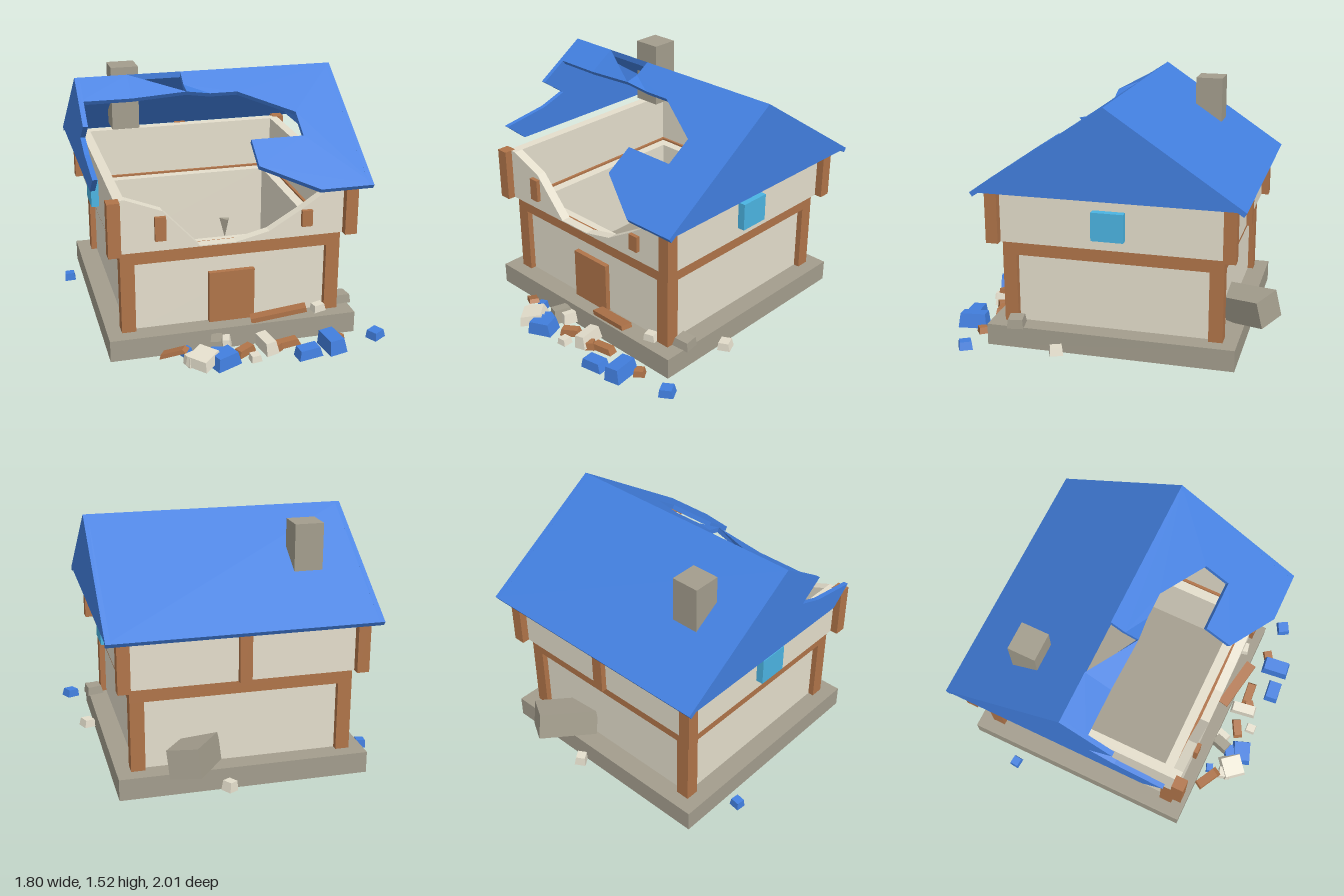
import * as THREE from 'three';

const mat = (name, color) => {
  const m = new THREE.MeshStandardMaterial({ color });
  m.name = name;
  return m;
};

export function createModel() {
  const blue = mat('roofBlue', 0x427fdf);
  const cream = mat('plaster', 0xe4decc);
  const wood = mat('timber', 0xb07449);
  const stone = mat('stone', 0xa39d8d);
  const glass = mat('windowGlass', 0x4bb4e2);

  const model = new THREE.Group();
  model.name = 'ruinedHouse';
  const CX = -0.015, CZ = -0.04; // centre of the house plan

  const add = (name, geo, material, parent = model) => {
    const m = new THREE.Mesh(geo, material);
    m.name = name;
    parent.add(m);
    return m;
  };
  // box given by its limits on each axis
  const box = (name, material, x0, x1, y0, y1, z0, z1) => {
    const m = add(name, new THREE.BoxGeometry(x1 - x0, y1 - y0, z1 - z0), material);
    m.position.set((x0 + x1) / 2, (y0 + y1) / 2, (z0 + z1) / 2);
    return m;
  };
  // square ring of four walls around the house centre; the front may be left out
  const ring = (name, material, outer, inner, y0, y1, front = true) => {
    for (const s of [-1, 1]) {
      const a = Math.min(s * outer, s * inner), b = Math.max(s * outer, s * inner);
      box(name + 'Side', material, CX + a, CX + b, y0, y1, CZ - outer, CZ + (front ? outer : inner));
      if (s < 0 || front) box(name + (s < 0 ? 'Back' : 'Front'), material, CX - inner, CX + inner, y0, y1, CZ + a, CZ + b);
    }
  };
  const posts = (name, outer, width, y0, y1) => {
    const c = outer - width / 2, h = width / 2;
    for (const sx of [-1, 1]) for (const sz of [-1, 1])
      box(name, wood, CX + sx * c - h, CX + sx * c + h, y0, y1, CZ + sz * c - h, CZ + sz * c + h);
  };

  // foundation, hollow underneath
  ring('foundationRim', stone, 0.758, 0.75, 0, 0.133);
  box('foundationFloor', stone, CX - 0.75, CX + 0.75, 0.123, 0.133, CZ - 0.75, CZ + 0.75);

  // ground floor
  ring('lowerWall', cream, 0.635, 0.56, 0.133, 0.64);
  posts('lowerPost', 0.672, 0.085, 0.133, 0.57);
  ring('floorBeam', wood, 0.672, 0.622, 0.565, 0.652);
  box('door', wood, -0.155, 0.125, 0.133, 0.457, 0.58, 0.627);

  // upper floor, with a collapsed front wall
  ring('upperWall', cream, 0.7, 0.64, 0.652, 0.98, false);
  posts('upperPost', 0.748, 0.075, 0.652, 0.982);
  box('backPost', wood, CX - 0.037, CX + 0.037, 0.652, 0.98, -0.775, -0.72);
  const broken = [[-0.715, 0.652], [0.685, 0.652], [0.685, 0.98], [0.61, 0.965], [0.4, 0.825], [0.2, 0.705],
    [0, 0.658], [-0.22, 0.658], [-0.44, 0.895], [-0.655, 0.98], [-0.715, 0.98]];
  add('brokenFrontWall', new THREE.ExtrudeGeometry(
    new THREE.Shape(broken.map(p => new THREE.Vector2(...p))), { depth: 0.06, bevelEnabled: false }), cream)
    .position.z = 0.6;
  box('leftFrontStub', wood, 0.395, 0.46, 0.72, 0.82, 0.65, 0.685);
  box('rightFrontStub', wood, -0.487, -0.422, 0.72, 0.865, 0.65, 0.685);
  for (const s of [-1, 1])
    box('sideWindow', glass, CX + s * 0.717 - 0.03, CX + s * 0.717 + 0.03, 0.72, 0.892, -0.135, 0.06);

  // roof slabs: outline points are [x, z, lift] on the slope, thickened inwards and mitred at the ridge
  const RIDGE = CZ, slopeY = z => 1.52 - Math.abs(z - RIDGE) * 0.667;
  const slab = (name, outline) => {
    const pts = outline.map(([x, z, lift = 0]) => new THREE.Vector3(x, slopeY(z) + lift, z));
    const flat = () => pts.map(p => new THREE.Vector2(p.x, -p.z));
    if (THREE.ShapeUtils.isClockWise(flat())) pts.reverse();
    const low = pts.map(p => {
      const side = Math.sign(p.z - RIDGE);
      return new THREE.Vector3(p.x, p.y - (side ? 0.025 : 0.036), p.z - side * 0.0167);
    });
    const tri = [];
    for (const [a, b, c] of THREE.ShapeUtils.triangulateShape(flat(), []))
      tri.push(pts[a], pts[b], pts[c], low[c], low[b], low[a]);
    pts.forEach((p, i) => {
      const j = (i + 1) % pts.length;
      tri.push(p, low[i], low[j], p, low[j], pts[j]);
    });
    const g = new THREE.BufferGeometry().setFromPoints(tri);
    g.computeVertexNormals();
    add(name, g, blue);
  };
  slab('backRoof', [[-0.82, RIDGE], [0.8, RIDGE], [0.8, -0.85], [-0.82, -0.85]]);
  slab('frontRoof', [[-0.17, RIDGE], [0.8, RIDGE], [0.8, 0.77], [0.475, 0.77], [0.15, 0.6], [0.15, 0.435],
    [0.475, 0.435], [0.475, 0.28], [0.15, 0.12], [-0.02, 0.12], [-0.17, 0.05]]);
  slab('bentRoofFlap', [[-0.17, 0.05], [-0.02, 0.12], [-0.17, 0.135, 0.035]]);
  slab('brokenRoofStrip', [[-0.82, RIDGE], [-0.5, RIDGE], [-0.17, 0.135, 0.035], [-0.5, 0.12], [-0.82, 0.12]]);

  // gable plates, drawn as [z, y]
  const gable = (name, pts, x) => {
    const g = new THREE.ExtrudeGeometry(new THREE.Shape(pts.map(([z, y]) => new THREE.Vector2(-z, y))),
      { depth: 0.03, bevelEnabled: false });
    g.rotateY(Math.PI / 2);
    add(name, g, blue).position.x = x;
  };
  gable('leftGable', [[0.77, 0.98], [-0.85, 0.98], [RIDGE, 1.52]], 0.77);
  gable('brokenRightGable', [[0.47, 0.98], [-0.85, 0.98], [RIDGE, 1.52], [0.28, 1.307], [0.13, 1.197],
    [0.29, 1.14], [0.6, 1.093]], -0.82);

  box('chimney', stone, -0.555, -0.38, 1.09, 1.497, -0.5, -0.328);

  // fallen pieces
  const chunk = add('fallenChimney', new THREE.BoxGeometry(0.19, 0.17, 0.37), stone);
  chunk.rotation.set(0.14, -0.56, -0.18, 'YXZ');
  chunk.position.set(0.297, 0.237, -0.79);
  const plank = add('fallenPlank', new THREE.BoxGeometry(0.34, 0.03, 0.07), wood);
  plank.rotation.set(0, -0.2, 0.21, 'YZX');
  plank.position.set(0.255, 0.18, 0.7);

  const debris = new THREE.Group();
  debris.name = 'debris';
  model.add(debris);
  // tapered block: x, y, z, width, height, depth, turn, tilt
  const rubble = (name, material, list) => list.forEach(([x, y, z, w, h, d, turn, tilt = 0.08]) => {
    const g = new THREE.BoxGeometry(w, h, d), p = g.attributes.position;
    for (let i = 0; i < p.count; i++) if (p.getY(i) > 0) {
      p.setX(i, p.getX(i) * 0.8);
      p.setZ(i, p.getZ(i) * 0.88);
    }
    g.computeVertexNormals();
    const m = add(name, g, material, debris);
    m.position.set(x, y, z);
    m.rotation.set(0, turn, tilt, 'YZX');
  });
  rubble('roofShard', blue, [
    [-0.33, 0.035, 0.765, 0.06, 0.05, 0.05, 0.4], [-0.14, 0.05, 0.92, 0.16, 0.08, 0.12, 0.35],
    [0.365, 0.04, 0.945, 0.15, 0.06, 0.09, 0.1], [0.53, 0.057, 0.895, 0.11, 0.09, 0.18, 0.12, 0.1],
    [0.84, 0.03, 0.825, 0.09, 0.05, 0.08, 0.5], [-0.865, 0.03, -0.455, 0.07, 0.05, 0.06, -0.1],
    [-0.17, 0.045, 0.84, 0.09, 0.06, 0.07, 0.6]]);
  rubble('woodScrap', wood, [
    [-0.41, 0.05, 0.78, 0.18, 0.025, 0.065, -0.55, 0.4], [0.01, 0.03, 0.825, 0.13, 0.045, 0.06, 0.5],
    [0.28, 0.03, 0.8, 0.16, 0.04, 0.06, 0.1], [0.2, 0.03, 0.835, 0.06, 0.05, 0.06, 0.6],
    [0.6, 0.025, 0.81, 0.07, 0.04, 0.06, 0.6]]);
  rubble('plasterLump', cream, [
    [-0.26, 0.06, 0.9, 0.16, 0.06, 0.15, 0.7, 0.2], [-0.09, 0.055, 0.755, 0.07, 0.07, 0.09, -0.3],
    [0.05, 0.025, 0.91, 0.065, 0.04, 0.065, 0.05], [0.15, 0.05, 0.81, 0.08, 0.08, 0.17, 0.15, 0.15],
    [0.53, 0.158, 0.64, 0.08, 0.045, 0.06, 0.2], [0.79, 0.035, 0.265, 0.08, 0.05, 0.08, 0.4],
    [0.1, 0.05, -0.855, 0.07, 0.06, 0.07, 0.6], [-0.32, 0.04, 0.87, 0.08, 0.06, 0.08, 0.3]]);
  rubble('stoneLump', stone, [
    [-0.145, 0.06, 0.77, 0.08, 0.09, 0.12, -0.3], [0.71, 0.16, 0.54, 0.11, 0.055, 0.1, 0.15, -0.08]]);

  return model;
}
